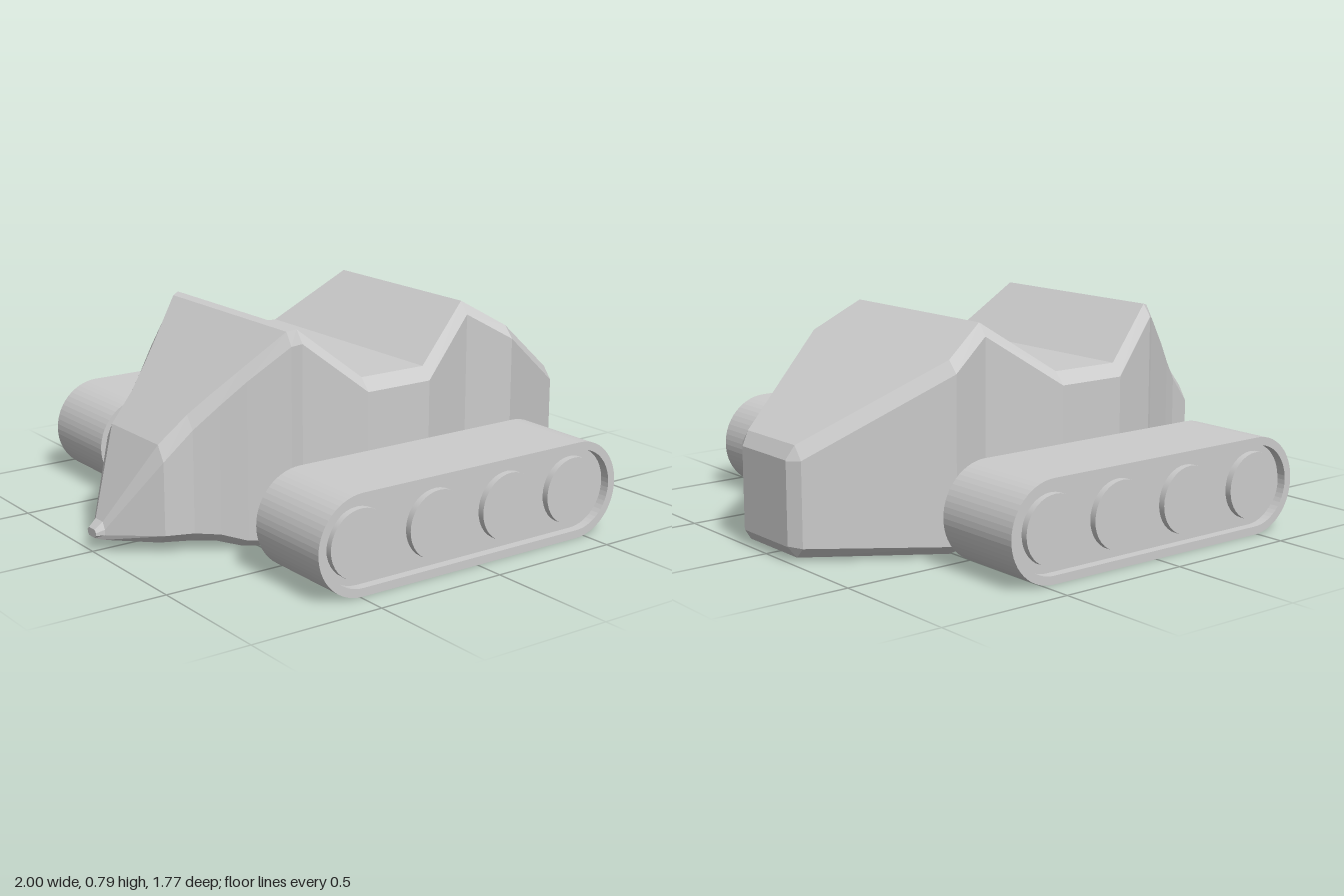
import * as THREE from 'three';

const material = new THREE.MeshStandardMaterial({ color: 0xcccccc, flatShading: true });
const smooth = new THREE.MeshStandardMaterial({ color: 0xcccccc });

function addMesh(parent, name, geometry, mat = material) {
  const mesh = new THREE.Mesh(geometry, mat);
  mesh.name = name;
  parent.add(mesh);
  return mesh;
}

// Hull stations along x:
// [x, side half-width, roof half-width, floor half-width, floor y, lower edge y, upper edge y, roof y]
const stations = [
  [-1.0, 0.03, 0.02, 0.02, 0.06, 0.07, 0.08, 0.09],
  [-0.97, 0.04, 0.025, 0.03, 0.05, 0.07, 0.09, 0.115],
  [-0.82, 0.195, 0.16, 0.155, 0.045, 0.08, 0.345, 0.4],
  [-0.72, 0.225, 0.19, 0.185, 0.04, 0.078, 0.449, 0.497],
  [-0.64, 0.27, 0.235, 0.23, 0.037, 0.07, 0.532, 0.575],
  [-0.56, 0.32, 0.285, 0.28, 0.015, 0.045, 0.615, 0.653],
  [-0.43, 0.4, 0.37, 0.36, 0.011, 0.042, 0.735, 0.782],
  [-0.4, 0.422, 0.387, 0.38, 0.01, 0.042, 0.745, 0.79],
  [-0.18, 0.503, 0.463, 0.46, 0.005, 0.04, 0.56, 0.605],
  [0.09, 0.503, 0.463, 0.46, 0.005, 0.04, 0.56, 0.605],
  [0.35, 0.395, 0.36, 0.355, 0.008, 0.042, 0.745, 0.79],
  [0.52, 0.453, 0.414, 0.41, 0.01, 0.044, 0.642, 0.686],
  [0.97, 0.188, 0.15, 0.15, 0.02, 0.058, 0.362, 0.41],
  [1.0, 0.14, 0.138, 0.138, 0.06, 0.062, 0.356, 0.36],
];

// Chamfered hull lofted through the stations
function hullGeometry() {
  const points = [];
  const faces = [];
  for (const [x, side, roof, floor, y0, y1, y2, y3] of stations) {
    const half = [[y0, floor], [y1, side], [y2, side], [y3, roof]];
    for (const [y, z] of half) points.push(x, y, z);
    for (const [y, z] of half.reverse()) points.push(x, y, -z);
  }
  const n = 8;
  const last = (stations.length - 1) * n;
  for (let i = 0; i < last; i += n) {
    for (let j = 0; j < n; j++) {
      const k = (j + 1) % n;
      faces.push(i + j, i + n + j, i + n + k, i + j, i + n + k, i + k);
    }
  }
  // End caps
  for (let j = 1; j < n - 1; j++) {
    faces.push(0, j, j + 1, last, last + j + 1, last + j);
  }
  const indexed = new THREE.BufferGeometry();
  indexed.setAttribute('position', new THREE.Float32BufferAttribute(points, 3));
  indexed.setIndex(faces);
  const geometry = indexed.toNonIndexed();
  geometry.computeVertexNormals();
  return geometry;
}

const TRACK = { x0: -0.49, x1: 0.46, y: 0.183, radius: 0.178, inner: 0.148, width: 0.355, z: 0.71 };

// Rounded-end outline around the two end wheels
function stadium(Type, radius) {
  const path = new Type();
  path.absarc(TRACK.x1, 0, radius, -Math.PI / 2, Math.PI / 2, false);
  path.absarc(TRACK.x0, 0, radius, Math.PI / 2, Math.PI * 1.5, false);
  path.closePath();
  return path;
}

function extruded(shape, depth) {
  const geometry = new THREE.ExtrudeGeometry(shape, { depth, bevelEnabled: false, curveSegments: 14 });
  return geometry.translate(0, 0, -depth / 2);
}

function createTrack(name) {
  const track = new THREE.Group();
  track.name = name;

  // Tread loop with a recessed side plate
  const loop = stadium(THREE.Shape, TRACK.radius);
  loop.holes.push(stadium(THREE.Path, TRACK.inner));
  addMesh(track, 'tread', extruded(loop, TRACK.width));
  addMesh(track, 'sidePlate', extruded(stadium(THREE.Shape, TRACK.inner), TRACK.width - 0.07));

  // Wheels showing on both sides
  for (const x of [-0.49, -0.165, 0.15, 0.445]) {
    const wheel = new THREE.CylinderGeometry(0.122, 0.122, TRACK.width - 0.02, 36);
    wheel.rotateX(Math.PI / 2);
    addMesh(track, 'wheel', wheel, smooth).position.x = x;
  }
  return track;
}

export function createModel() {
  const model = new THREE.Group();
  model.name = 'trackedVehicle';
  addMesh(model, 'hull', hullGeometry());

  for (const [name, side] of [['frontTrack', 1], ['backTrack', -1]]) {
    const track = createTrack(name);
    track.position.set(0, TRACK.y, side * TRACK.z);
    model.add(track);
  }
  return model;
}
